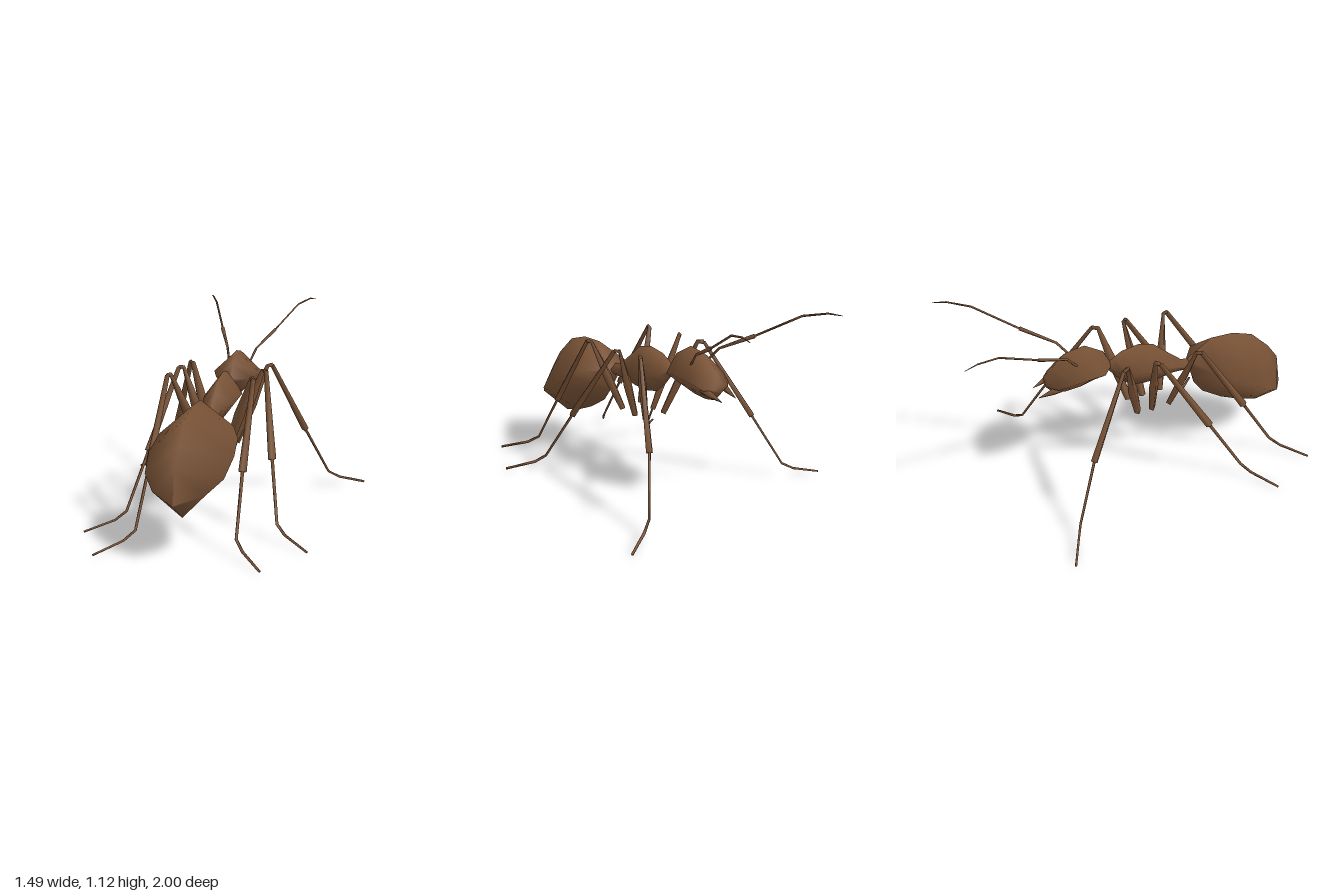
import * as THREE from 'three';

const brown = new THREE.MeshStandardMaterial({ color: 0x7b5437 });
brown.name = 'chestnut brown';

// Smooth skin over four-cornered rings, capped at both ends
function loft(name, rings) {
  const pos = [], idx = [], last = (rings.length - 1) * 4;
  rings.forEach(r => r.forEach(p => pos.push(p.x, p.y, p.z)));
  for (let i = 0; i < last; i += 4) {
    for (let j = 0; j < 4; j++) {
      const a = i + j, b = i + (j + 1) % 4;
      idx.push(a, b, b + 4, a, b + 4, a + 4);
    }
  }
  idx.push(0, 2, 1, 0, 3, 2, last, last + 1, last + 2, last, last + 2, last + 3);
  const g = new THREE.BufferGeometry();
  g.setAttribute('position', new THREE.Float32BufferAttribute(pos, 3));
  g.setIndex(idx);
  g.computeVertexNormals();
  const mesh = new THREE.Mesh(g, brown);
  mesh.name = name;
  return mesh;
}

// Body section from diamond rings: [top z, top y, bottom z, bottom y, half width]
function body(name, rows) {
  return loft(name, rows.map(([tz, ty, bz, by, w]) => {
    const y = (ty + by) / 2, z = (tz + bz) / 2;
    return [new THREE.Vector3(w, y, z), new THREE.Vector3(0, ty, tz),
      new THREE.Vector3(-w, y, z), new THREE.Vector3(0, by, bz)];
  }));
}

// Tapering limb along a path of [x, y, z, radius], mirrored by side
function limb(name, path, side) {
  const pts = path.map(p => new THREE.Vector3(p[0] * side, p[1], p[2]));
  return loft(name, pts.map((p, i) => {
    const t = new THREE.Vector3();
    if (i > 0) t.add(p.clone().sub(pts[i - 1]).normalize());
    if (i < pts.length - 1) t.add(pts[i + 1].clone().sub(p).normalize());
    t.normalize();
    const u = new THREE.Vector3(1, 0, 0).addScaledVector(t, -t.x).normalize();
    const v = new THREE.Vector3().crossVectors(t, u);
    const r = path[i][3];
    return [[u, r], [v, r], [u, -r], [v, -r]].map(([d, s]) => p.clone().addScaledVector(d, s));
  }));
}

// Each leg: hip, knee (inner, outer), shin end, ankle, heel, toe
const legs = {
  frontLeg: [[0.07, 0.38, 0.02], [0.222, 0.81, -0.105], [0.243, 0.81, -0.135],
    [0.402, 0.385, -0.375], [0.53, 0.09, -0.51], [0.595, 0.05, -0.545], [0.74, 0.01, -0.615]],
  middleLeg: [[0.07, 0.38, 0.11], [0.23, 0.81, 0.055], [0.252, 0.81, 0.075],
    [0.348, 0.385, 0.345], [0.415, 0.09, 0.53], [0.465, 0.05, 0.575], [0.6, 0.01, 0.685]],
  rearLeg: [[0.07, 0.39, 0.22], [0.225, 0.81, 0.305], [0.238, 0.81, 0.33],
    [0.25, 0.385, 0.615], [0.265, 0.09, 0.805], [0.31, 0.05, 0.86], [0.425, 0.01, 0.99]],
};

function leg(name, p, side) {
  const group = new THREE.Group();
  group.name = name;
  const [hip, kneeIn, kneeOut, shin, ankle, heel, toe] = p;
  const mid = hip.map((v, i) => v * 0.5 + kneeIn[i] * 0.5);
  group.add(
    limb('thigh', [[...hip, 0.02], [...mid, 0.029], [...kneeIn, 0.013], [...kneeOut, 0.013]], side),
    limb('shin', [[...kneeOut, 0.013], [...shin, 0.022]], side),
    limb('foot', [[...shin, 0.009], [...ankle, 0.008], [...heel, 0.008], [...toe, 0.007]], side));
  return group;
}

export function createModel() {
  const ant = new THREE.Group();
  ant.name = 'ant';

  ant.add(body('abdomen', [
    [0.36, 0.62, 0.375, 0.55, 0.035],
    [0.51, 0.725, 0.41, 0.44, 0.165],
    [0.65, 0.725, 0.47, 0.36, 0.212],
    [0.78, 0.685, 0.6, 0.28, 0.225],
    [0.9, 0.575, 0.73, 0.225, 0.205],
    [0.97, 0.48, 0.85, 0.195, 0.135],
    [1, 0.305, 0.998, 0.295, 0.005],
  ]));
  ant.add(body('thorax', [
    [-0.14, 0.71, -0.14, 0.68, 0.018],
    [-0.1, 0.745, -0.075, 0.6, 0.065],
    [-0.05, 0.775, 0, 0.535, 0.093],
    [0.05, 0.795, 0.08, 0.52, 0.102],
    [0.14, 0.775, 0.18, 0.525, 0.088],
    [0.24, 0.69, 0.27, 0.545, 0.05],
    [0.32, 0.625, 0.34, 0.545, 0.03],
    [0.38, 0.62, 0.385, 0.55, 0.035],
  ]));
  ant.add(body('head', [
    [-0.497, 0.71, -0.502, 0.65, 0.055],
    [-0.46, 0.77, -0.455, 0.6, 0.105],
    [-0.38, 0.845, -0.39, 0.59, 0.138],
    [-0.27, 0.865, -0.3, 0.6, 0.142],
    [-0.16, 0.8, -0.215, 0.625, 0.105],
    [-0.12, 0.72, -0.13, 0.68, 0.02],
  ]));

  for (const side of [1, -1]) {
    const label = side > 0 ? 'left ' : 'right ';
    for (const [name, path] of Object.entries(legs)) ant.add(leg(label + name, path, side));
    // Antenna: thicker base stalk, then a thin bent whip
    ant.add(limb(label + 'antennaBase', [[0.065, 0.79, -0.34, 0.007],
      [0.09, 0.862, -0.4, 0.007], [0.168, 0.953, -0.58, 0.012]], side));
    ant.add(limb(label + 'antennaWhip', [[0.165, 0.95, -0.575, 0.006],
      [0.268, 1.088, -0.81, 0.006], [0.322, 1.114, -0.93, 0.005], [0.35, 1.11, -1, 0.002]], side));
    // Jaw spike
    ant.add(limb(label + 'mandible', [[0.07, 0.67, -0.43, 0.025],
      [0.065, 0.655, -0.48, 0.022], [0.052, 0.627, -0.56, 0.002]], side));
  }
  return ant;
}
